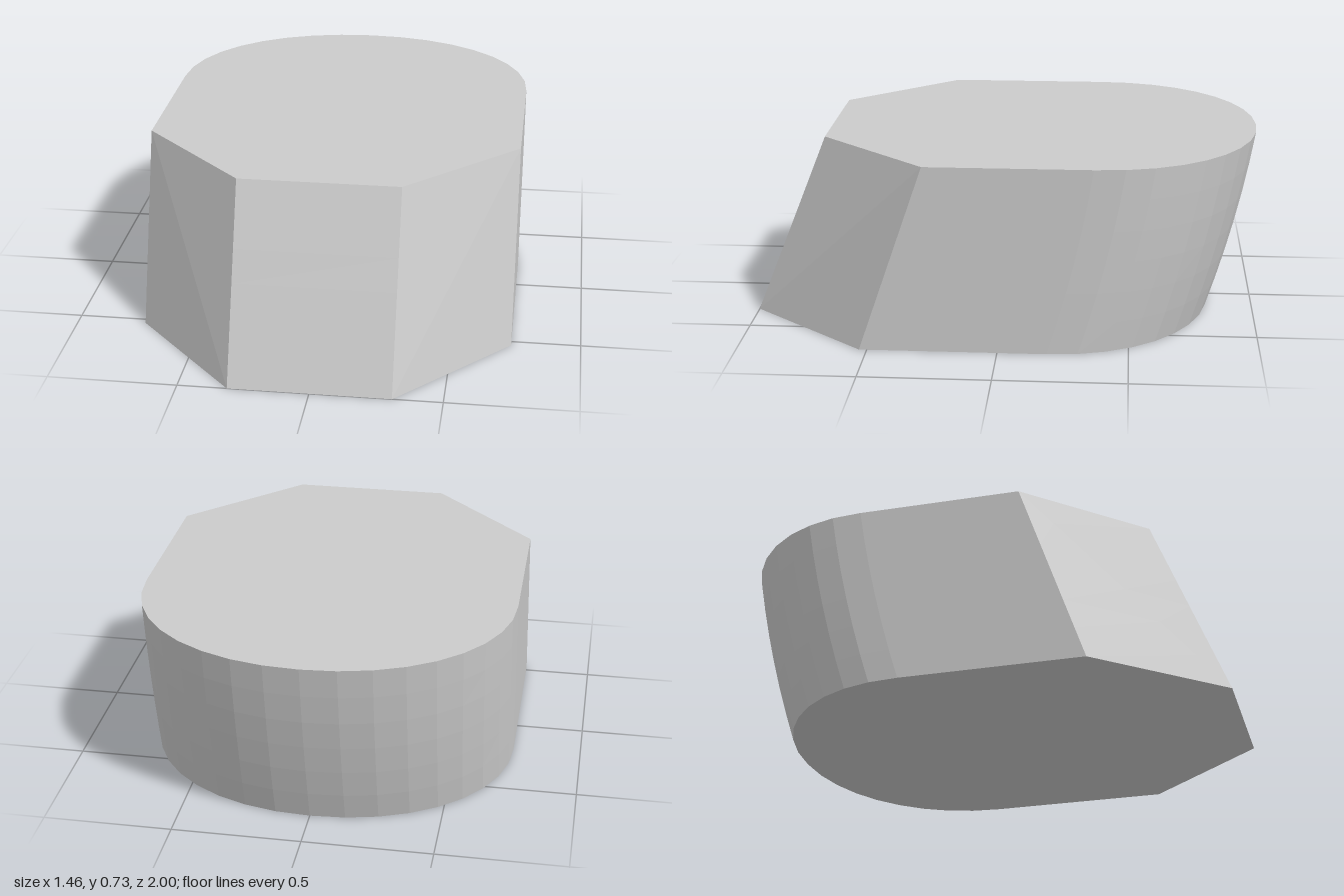
import * as THREE from 'three';

const H = 0.73, W = 0.73, FRONT = 0.31, LEVELS = 6, ARC = 18;
const lerp = THREE.MathUtils.lerp;

// Horizontal outline at height fraction t, anticlockwise seen from above
function outline(t) {
  const frontZ = lerp(1, 0.71, t), sideZ = lerp(0.53, 0.28, t);
  // the rear leans back along a slight bulge
  const bulge = t + 0.35 * t * (1 - t);
  const arcZ = lerp(-0.19, -0.36, bulge), depth = lerp(0.63, 0.64, bulge);
  // fold running diagonally across each chamfer
  const foldX = lerp(FRONT, W, t), foldZ = lerp(1, 0.28, t);
  const pts = [[FRONT, frontZ], [foldX, foldZ], [W, sideZ]];
  for (let i = 0; i <= ARC; i++) {
    const a = Math.PI * i / ARC, c = Math.cos(a), s = Math.max(0, Math.sin(a)), e = 0.96;
    pts.push([W * Math.sign(c) * Math.abs(c) ** e, arcZ - depth * s ** e]);
  }
  pts.push([-W, sideZ], [-foldX, foldZ], [-FRONT, frontZ]);
  return pts;
}

export function createModel() {
  const positions = [], index = [];
  const n = outline(0).length;

  // Stacked outlines
  for (let k = 0; k <= LEVELS; k++) {
    const t = k / LEVELS;
    for (const [x, z] of outline(t)) positions.push(x, t * H, z);
  }
  // Walls
  for (let k = 0; k < LEVELS; k++) {
    for (let i = 0; i < n; i++) {
      const a = k * n + i, b = k * n + (i + 1) % n;
      index.push(a, b, b + n, a, b + n, a + n);
    }
  }
  // Bottom and top caps
  const bottom = positions.length / 3, top = bottom + 1;
  positions.push(0, 0, 0, 0, H, 0);
  for (let i = 0; i < n; i++) {
    const j = (i + 1) % n;
    index.push(bottom, j, i, top, LEVELS * n + i, LEVELS * n + j);
  }

  const indexed = new THREE.BufferGeometry();
  indexed.setAttribute('position', new THREE.Float32BufferAttribute(positions, 3));
  indexed.setIndex(index);
  const geometry = indexed.toNonIndexed();
  geometry.computeVertexNormals();

  const body = new THREE.Mesh(geometry, new THREE.MeshStandardMaterial({ color: 0xcccccc, flatShading: true }));
  body.name = 'slantedBlock';
  const group = new THREE.Group();
  group.name = 'slantedRoundBackBlock';
  group.add(body);
  return group;
}
